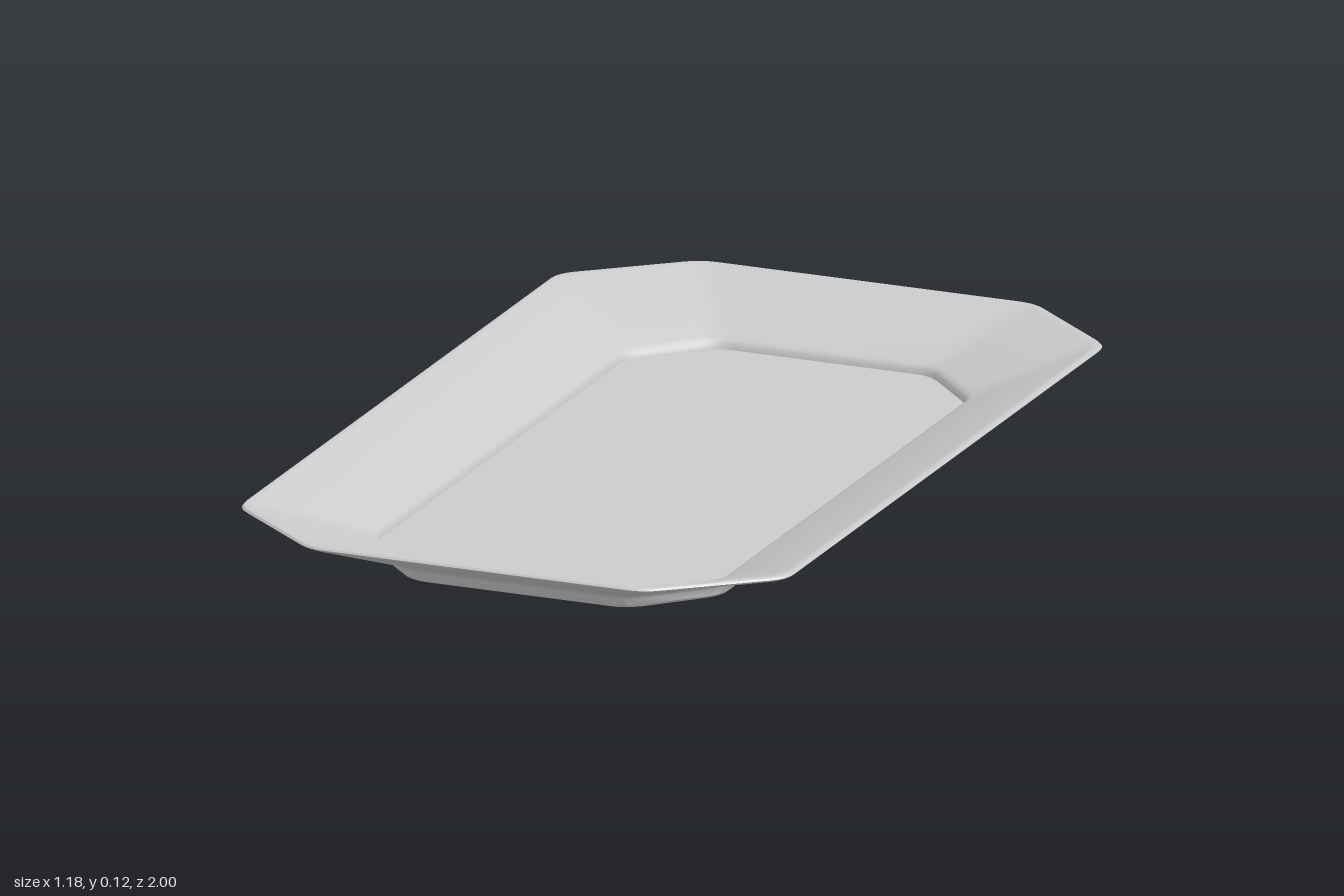
import * as THREE from 'three';
import { toCreasedNormals } from 'three/addons/utils/BufferGeometryUtils.js';

const lerp = THREE.MathUtils.lerp;
const CORNER_STEPS = 5;

// Octagonal outline with softened corners; a is its half width
function outline(a) {
  const t = (a - 0.37) / 0.22;
  const b = lerp(0.775, 1.0, t);
  const cx = lerp(0.14, 0.23, t), cz = lerp(0.145, 0.19, t);
  const corners = [
    [a, b - cz], [a - cx, b], [cx - a, b], [-a, b - cz],
    [-a, cz - b], [cx - a, -b], [a - cx, -b], [a, cz - b],
  ].map(([x, z]) => new THREE.Vector2(x, z));
  const points = [];
  corners.forEach((c, i) => {
    const towards = (o) => c.clone().add(o.clone().sub(c).setLength(0.035));
    const curve = new THREE.QuadraticBezierCurve(
      towards(corners[(i + 7) % 8]), c, towards(corners[(i + 1) % 8]));
    points.push(...curve.getPoints(CORNER_STEPS));
  });
  return points;
}

// Loft outlines through [half width, height] pairs and close both ends flat
function loft(profile) {
  const rings = profile.map(([a, y]) => outline(a).map((p) => [p.x, y, p.y]));
  const n = rings[0].length;
  const positions = [];
  const bottom = [0, profile[0][1], 0];
  const top = [0, profile[profile.length - 1][1], 0];
  const last = rings[rings.length - 1];
  for (let j = 0; j < n; j++) {
    const k = (j + 1) % n;
    positions.push(...bottom, ...rings[0][j], ...rings[0][k]);
    for (let i = 0; i < rings.length - 1; i++) {
      const lo = rings[i], hi = rings[i + 1];
      positions.push(...lo[j], ...hi[j], ...hi[k], ...lo[j], ...hi[k], ...lo[k]);
    }
    positions.push(...last[j], ...top, ...last[k]);
  }
  const geometry = new THREE.BufferGeometry();
  geometry.setAttribute('position', new THREE.Float32BufferAttribute(positions, 3));
  return toCreasedNormals(geometry, 0.6);
}

export function createModel() {
  const group = new THREE.Group();
  group.name = 'servingTray';

  const profile = [
    // foot
    [0.366, 0], [0.372, 0.001], [0.376, 0.006], [0.378, 0.02],
    // flared underside
    [0.382, 0.026], [0.39, 0.031], [0.578, 0.109],
    // rounded rim
    [0.586, 0.113], [0.59, 0.117], [0.587, 0.121], [0.58, 0.122], [0.572, 0.12],
    // inner slope, then a small step down to the floor
    [0.385, 0.042], [0.376, 0.037], [0.371, 0.03], [0.369, 0.02],
  ];
  const tray = new THREE.Mesh(loft(profile), new THREE.MeshStandardMaterial({ color: 0xcccccc }));
  tray.name = 'trayBody';
  group.add(tray);
  return group;
}
